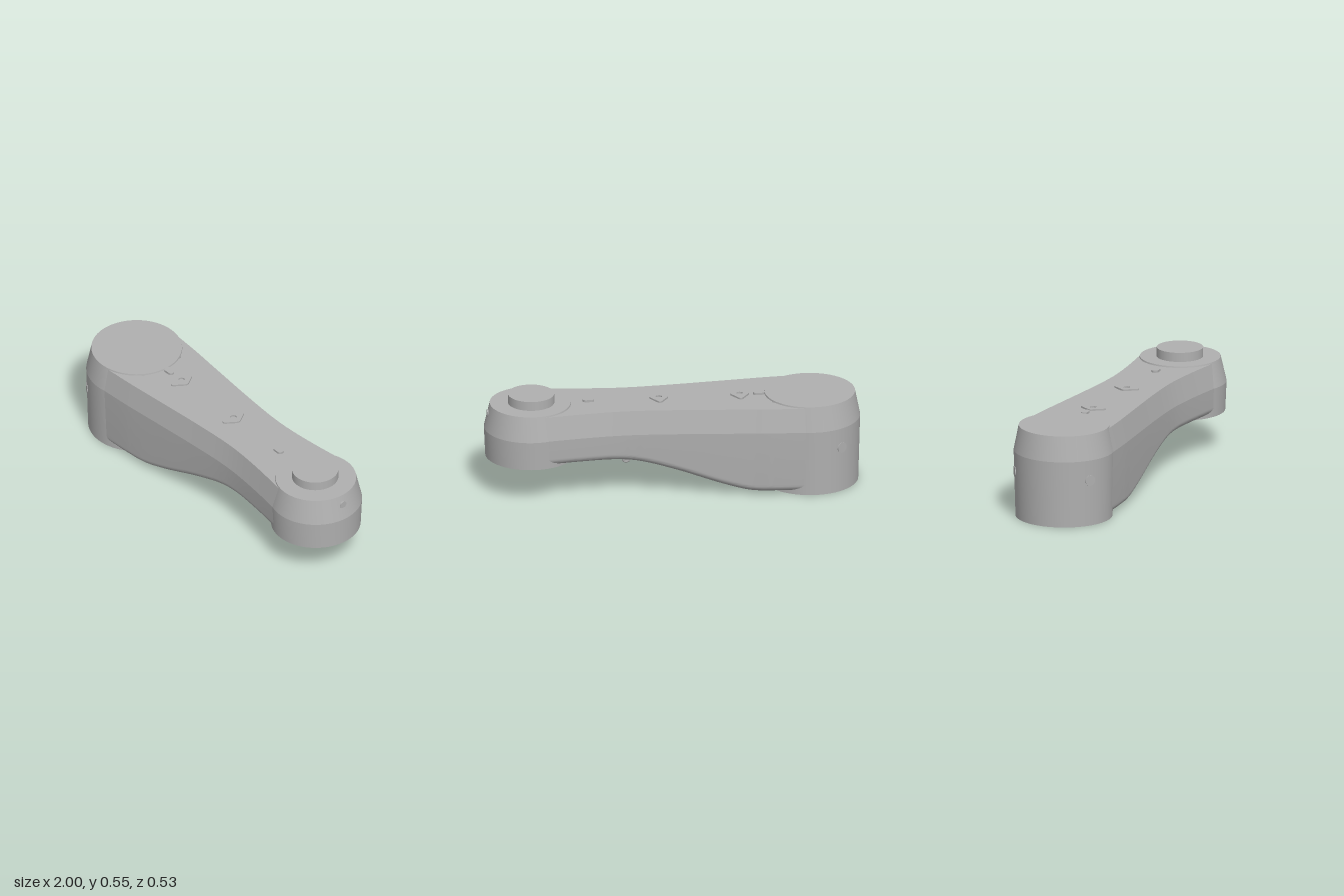
import * as THREE from 'three';
import { toCreasedNormals } from 'three/addons/utils/BufferGeometryUtils.js';

const CREASE = 0.22;
const TOP = 0.487;

export function createModel() {
  const group = new THREE.Group();
  const grey = new THREE.MeshStandardMaterial({ color: 0xb0b0b0 });
  grey.name = 'grey';

  const add = (name, geometry, x = 0, y = 0, z = 0) => {
    const mesh = new THREE.Mesh(geometry, grey);
    mesh.name = name;
    mesh.position.set(x, y, z);
    group.add(mesh);
    return mesh;
  };

  const lathe = (points) => {
    const g = new THREE.LatheGeometry(points.map(([r, y]) => new THREE.Vector2(r, y)), 72);
    return toCreasedNormals(g.toNonIndexed(), CREASE);
  };

  // Large end with a round recess underneath, and small end
  add('largeEnd', lathe([[0, 0.06], [0.18, 0.06], [0.18, 0], [0.257, 0], [0.267, 0.36], [0.24, 0.495], [0, 0.495]]), -0.733);
  add('smallEnd', lathe([[0, 0.203], [0.238, 0.203], [0.245, 0.36], [0.214, 0.495], [0, 0.495]]), 0.755);

  // Arm between the ends
  add('arm', armGeometry());

  // Raised boss on the small end
  add('boss', new THREE.CylinderGeometry(0.123, 0.123, 0.06, 64), 0.75, 0.515);

  // Diamond plates with a centre hole
  const diamond = new THREE.Shape();
  diamond.moveTo(0.045, -0.012);
  diamond.quadraticCurveTo(0.052, 0, 0.045, 0.012);
  diamond.lineTo(0.012, 0.062);
  diamond.quadraticCurveTo(0, 0.077, -0.012, 0.062);
  diamond.lineTo(-0.045, 0.012);
  diamond.quadraticCurveTo(-0.052, 0, -0.045, -0.012);
  diamond.lineTo(-0.012, -0.062);
  diamond.quadraticCurveTo(0, -0.077, 0.012, -0.062);
  diamond.closePath();
  const hole = new THREE.Path();
  hole.absarc(0, 0, 0.017, 0, Math.PI * 2, true);
  diamond.holes.push(hole);
  const plate = new THREE.ExtrudeGeometry(diamond, { depth: 0.009, bevelEnabled: false, curveSegments: 8 });
  plate.rotateX(-Math.PI / 2);
  for (const x of [-0.36, 0.07]) add('diamondPlate', plate, x, TOP);

  // Small oval studs beside the ends
  const oval = new THREE.Shape();
  oval.absarc(0.013, 0, 0.018, -Math.PI / 2, Math.PI / 2, false);
  oval.absarc(-0.013, 0, 0.018, Math.PI / 2, Math.PI * 1.5, false);
  const stud = new THREE.ExtrudeGeometry(oval, { depth: 0.012, bevelEnabled: false, curveSegments: 10 });
  stud.rotateX(-Math.PI / 2);
  for (const x of [-0.462, 0.445]) add('ovalStud', stud, x, TOP);

  // Hollow pegs under the arm
  const peg = lathe([[0, 0.02], [0.009, 0.02], [0.009, 0], [0.018, 0], [0.021, 0.004], [0.021, 0.05]]);
  for (const z of [-0.111, 0.111]) add('peg', peg, 0.258, 0.18, z);

  // Round plugs set in the side walls
  const plug = (cx, y, wall, radius, angle) => {
    const g = new THREE.CylinderGeometry(radius, radius, 0.014, 28);
    g.rotateZ(-Math.PI / 2);
    const mesh = add('sidePlug', g, cx + Math.cos(angle) * wall, y, -Math.sin(angle) * wall);
    mesh.rotation.y = angle;
  };
  plug(0.755, 0.442, 0.223, 0.02, 0);
  const spread = THREE.MathUtils.degToRad(56);
  plug(-0.733, 0.25, 0.26, 0.029, Math.PI - spread);
  plug(-0.733, 0.25, 0.26, 0.029, Math.PI + spread);

  return group;
}

// Lofted arm: each control point is (x, underside height, widest half-width)
function armGeometry() {
  const cut = -0.52;
  const curve = new THREE.CatmullRomCurve3([
    [-0.73, 0.02, 0.265], [cut, 0.018, 0.252], [-0.4, 0.022, 0.241],
    [-0.25, 0.06, 0.227], [0, 0.145, 0.205], [0.2, 0.2, 0.193],
    [0.32, 0.213, 0.194], [0.5, 0.215, 0.209], [0.755, 0.215, 0.242],
  ].map((p) => new THREE.Vector3(...p)));

  // Half cross-section from the top, around the side, to the underside
  const section = ({ x, y: low, z: w }, inner) => {
    const r = 0.04;
    const wb = w - 0.028 * (0.36 - low);
    const pts = [[inner, TOP], [w - 0.026, TOP], [w, 0.36]];
    for (let k = 0; k <= 8; k++) {
      const a = (k / 8) * Math.PI / 2;
      pts.push([wb - r + r * Math.cos(a), low + r - r * Math.sin(a)]);
    }
    pts.push([inner, low]);
    return pts.map(([z, y]) => [x, y, z]);
  };

  // Beside the recess only the outer shoulders of the arm are kept
  const rows = [];
  for (const p of curve.getPoints(48)) {
    const atCut = Math.abs(p.x - cut) < 1e-4;
    if (p.x < cut || atCut) rows.push(section(p, THREE.MathUtils.mapLinear(p.x, -0.73, cut, 0.215, 0.13)));
    if (p.x > cut || atCut) rows.push(section(p, 0));
  }

  const positions = [];
  for (const side of [1, -1]) {
    const put = (...corners) => {
      if (side < 0) corners.reverse();
      for (const [x, y, z] of corners) positions.push(x, y, z * side);
    };
    for (let i = 0; i < rows.length - 1; i++) {
      if (Math.abs(rows[i][0][0] - rows[i + 1][0][0]) < 1e-5) continue;
      for (let j = 0; j < rows[i].length - 1; j++) {
        const a = rows[i][j], b = rows[i][j + 1], c = rows[i + 1][j + 1], d = rows[i + 1][j];
        put(a, b, c);
        put(a, c, d);
      }
    }
  }
  const g = new THREE.BufferGeometry();
  g.setAttribute('position', new THREE.Float32BufferAttribute(positions, 3));
  return toCreasedNormals(g, CREASE);
}
